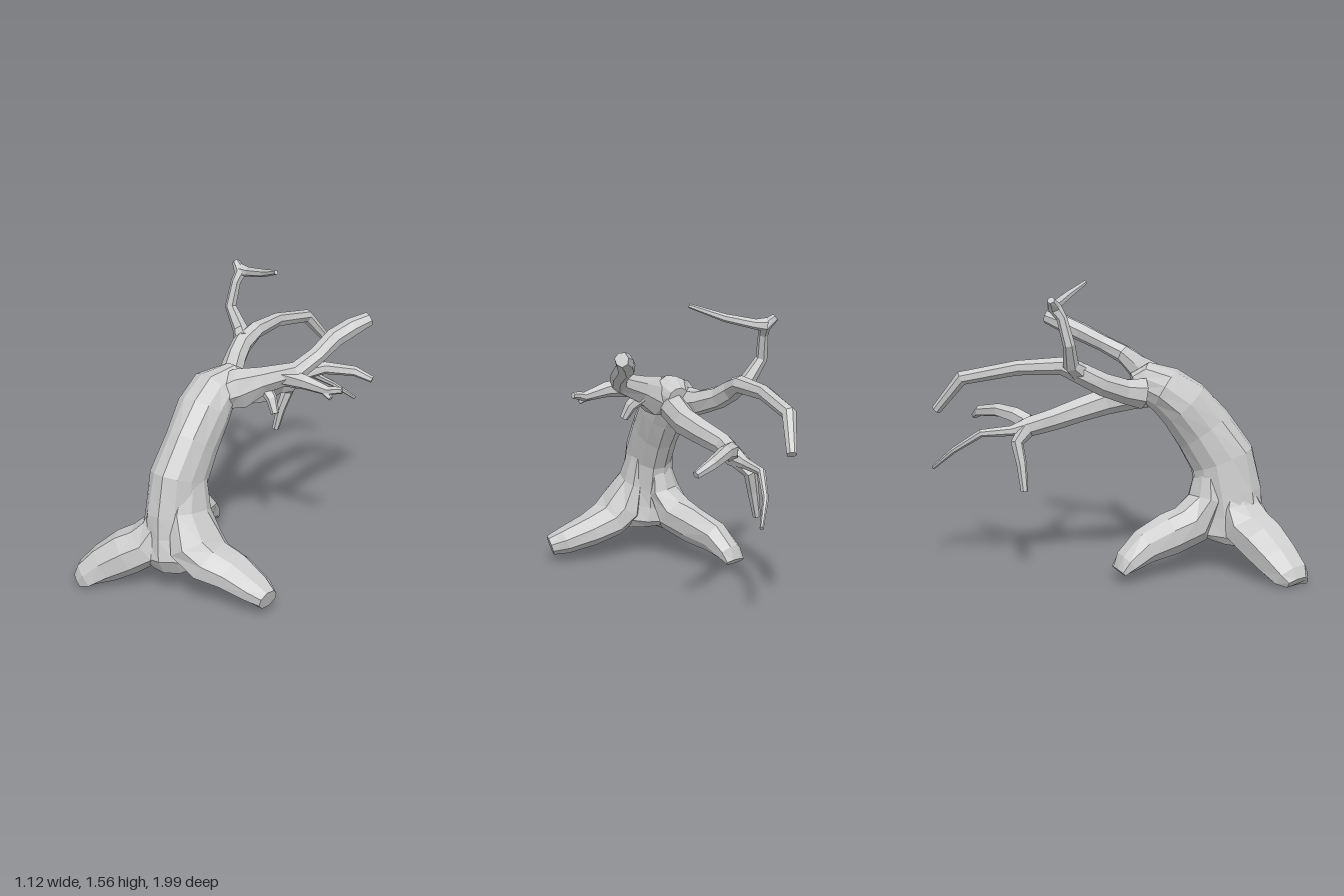
import * as THREE from 'three';

const bark = new THREE.MeshStandardMaterial({ color: 0xcccccc, flatShading: true });

// Repeatable 0..1 noise for the uneven bark
function makeNoise(seed) {
  let s = seed;
  return () => (s = (s * 16807) % 2147483647) / 2147483647;
}

// Faceted limb swept through rings [x, y, z, halfWidth, halfHeight = halfWidth]
function limb(name, rings, sides = 6, rough = 0.08) {
  const noise = makeNoise(name.length * 977 + rings.length * 31);
  const centres = rings.map(r => new THREE.Vector3(r[0], r[1], r[2]));
  const flutes = Array.from({ length: sides }, () => 1.07 + (noise() - 0.5) * 2 * rough);
  const pos = [], index = [];
  const last = rings.length - 1;
  // Width runs level, across the limb's overall direction
  let side = new THREE.Vector3(0, 1, 0).cross(centres[last].clone().sub(centres[0]));
  rings.forEach((r, i) => {
    const t = centres[Math.min(i + 1, last)].clone().sub(centres[Math.max(i - 1, 0)]).normalize();
    side = side.clone().addScaledVector(t, -side.dot(t)).normalize();
    const up = t.clone().cross(side);
    const w = r[3], h = r[4] ?? w;
    for (let j = 0; j < sides; j++) {
      const a = (j + 0.5) / sides * Math.PI * 2;
      const k = flutes[j] + (noise() - 0.5) * rough;
      const p = centres[i].clone()
        .addScaledVector(side, Math.cos(a) * w * k)
        .addScaledVector(up, Math.sin(a) * h * k);
      pos.push(p.x, Math.max(p.y, 0), p.z);
    }
  });
  for (let i = 0; i < last; i++) {
    for (let j = 0; j < sides; j++) {
      const a = i * sides + j, b = i * sides + (j + 1) % sides;
      index.push(a, b, a + sides, b, b + sides, a + sides);
    }
  }
  // End caps
  const end = last * sides;
  for (let j = 1; j < sides - 1; j++) {
    index.push(0, j + 1, j, end, end + j, end + j + 1);
  }
  const indexed = new THREE.BufferGeometry();
  indexed.setAttribute('position', new THREE.Float32BufferAttribute(pos, 3));
  indexed.setIndex(index);
  const geo = indexed.toNonIndexed();
  geo.computeVertexNormals();
  const mesh = new THREE.Mesh(geo, bark);
  mesh.name = name;
  return mesh;
}

export function createModel() {
  const tree = new THREE.Group();
  tree.name = 'deadTree';

  // Leaning trunk, bending backwards
  tree.add(limb('trunk', [
    [-0.09, 0.15, 0.62, 0.15, 0.14], [-0.09, 0.21, 0.63, 0.18, 0.18],
    [-0.10, 0.31, 0.62, 0.155, 0.165], [-0.10, 0.42, 0.61, 0.14, 0.165],
    [-0.10, 0.60, 0.575, 0.125, 0.165], [-0.10, 0.76, 0.47, 0.125, 0.15],
    [-0.11, 0.90, 0.36, 0.138, 0.135], [-0.115, 0.98, 0.26, 0.135, 0.115],
    [-0.07, 1.015, 0.16, 0.095, 0.10], [-0.08, 1.0, 0.09, 0.06, 0.06],
  ], 12, 0.06));

  // Three spreading roots, flaring out of the trunk
  const roots = new THREE.Group();
  roots.name = 'roots';
  roots.add(
    limb('frontRightRoot', [
      [-0.15, 0.47, 0.67, 0.07, 0.04], [-0.16, 0.35, 0.68, 0.12, 0.075],
      [-0.21, 0.24, 0.715, 0.14, 0.11], [-0.30, 0.18, 0.78, 0.13, 0.115],
      [-0.40, 0.11, 0.85, 0.115, 0.10], [-0.475, 0.045, 0.91, 0.10, 0.075],
      [-0.51, 0.015, 0.935, 0.07, 0.04],
    ], 8),
    limb('leftRoot', [
      [-0.015, 0.64, 0.55, 0.08, 0.03], [0.005, 0.44, 0.60, 0.13, 0.055],
      [0.06, 0.28, 0.62, 0.165, 0.105], [0.15, 0.205, 0.61, 0.145, 0.095],
      [0.28, 0.165, 0.585, 0.125, 0.08], [0.43, 0.115, 0.59, 0.095, 0.065],
      [0.51, 0.09, 0.60, 0.06, 0.05],
    ], 8),
    limb('backRightRoot', [
      [-0.13, 0.55, 0.48, 0.07, 0.035], [-0.15, 0.39, 0.47, 0.11, 0.06],
      [-0.19, 0.26, 0.40, 0.105, 0.11], [-0.25, 0.215, 0.28, 0.09, 0.105],
      [-0.33, 0.17, 0.14, 0.085, 0.085], [-0.375, 0.10, 0.045, 0.08, 0.055],
      [-0.39, 0.055, 0.005, 0.07, 0.025],
    ], 8),
  );
  tree.add(roots);

  // Left branch with its raised end and side twigs
  const left = new THREE.Group();
  left.name = 'leftBranch';
  left.add(
    limb('leftLimb', [
      [-0.05, 0.98, 0.25, 0.085], [0.02, 1.005, 0.20, 0.08, 0.105],
      [0.13, 1.06, 0.14, 0.06, 0.07], [0.28, 1.12, 0.06, 0.05],
      [0.32, 1.18, -0.06, 0.045], [0.335, 1.245, -0.19, 0.05],
      [0.38, 1.29, -0.29, 0.048], [0.43, 1.32, -0.38, 0.036],
    ], 7),
    limb('leftSideTwig', [
      [0.23, 1.09, 0.09, 0.05], [0.35, 1.085, 0.08, 0.038],
      [0.48, 1.06, 0.055, 0.024], [0.51, 1.07, 0.05, 0.02], [0.55, 1.075, 0.035, 0.016],
    ]),
    limb('leftTwigSpur', [[0.45, 1.06, 0.06, 0.022], [0.505, 1.03, 0.07, 0.013]], 5),
    limb('leftHangingTwig', [
      [0.12, 1.02, 0.13, 0.04], [0.18, 0.97, 0.145, 0.03], [0.215, 0.90, 0.16, 0.021],
    ]),
  );
  tree.add(left);

  // Upper back branch: one arm reaches back, one climbs and forks
  const upper = new THREE.Group();
  upper.name = 'upperBackBranch';
  upper.add(
    limb('upperLimb', [
      [-0.16, 0.97, 0.14, 0.08], [-0.19, 0.985, 0.04, 0.065], [-0.25, 1.03, -0.08, 0.058],
      [-0.28, 1.085, -0.18, 0.056], [-0.275, 1.13, -0.29, 0.046],
      [-0.30, 1.125, -0.52, 0.038], [-0.295, 1.07, -0.81, 0.036], [-0.24, 0.895, -0.95, 0.025],
    ], 7),
    limb('climbingBranch', [
      [-0.29, 1.10, -0.20, 0.05], [-0.34, 1.14, -0.24, 0.04], [-0.415, 1.255, -0.25, 0.03],
      [-0.405, 1.39, -0.285, 0.026], [-0.395, 1.44, -0.32, 0.034], [-0.45, 1.485, -0.34, 0.019],
    ]),
    limb('topTwig', [
      [-0.40, 1.445, -0.33, 0.034], [-0.34, 1.45, -0.32, 0.025],
      [-0.19, 1.485, -0.265, 0.02], [-0.03, 1.545, -0.165, 0.011],
    ]),
  );
  tree.add(upper);

  // Lower back branch, splitting into three twigs
  const lower = new THREE.Group();
  lower.name = 'lowerBackBranch';
  lower.add(
    limb('lowerLimb', [
      [-0.07, 0.955, 0.16, 0.08], [-0.06, 0.94, 0.08, 0.075], [-0.055, 0.905, -0.06, 0.066, 0.072],
      [-0.10, 0.865, -0.20, 0.06, 0.064], [-0.155, 0.825, -0.34, 0.052, 0.056],
      [-0.16, 0.79, -0.46, 0.052],
      [-0.18, 0.77, -0.56, 0.028], [-0.19, 0.76, -0.72, 0.021],
      [-0.14, 0.66, -0.87, 0.016], [-0.06, 0.55, -0.99, 0.01],
    ], 7),
    limb('lowerLeftTwig', [
      [-0.13, 0.81, -0.47, 0.045], [-0.10, 0.845, -0.54, 0.042], [-0.03, 0.86, -0.63, 0.036],
      [0.10, 0.835, -0.745, 0.03], [0.2, 0.795, -0.78, 0.019],
    ]),
    limb('hangingTwig', [
      [-0.17, 0.775, -0.48, 0.045], [-0.22, 0.71, -0.53, 0.034],
      [-0.25, 0.60, -0.505, 0.027], [-0.28, 0.46, -0.49, 0.019],
    ]),
  );
  tree.add(lower);

  return tree;
}
